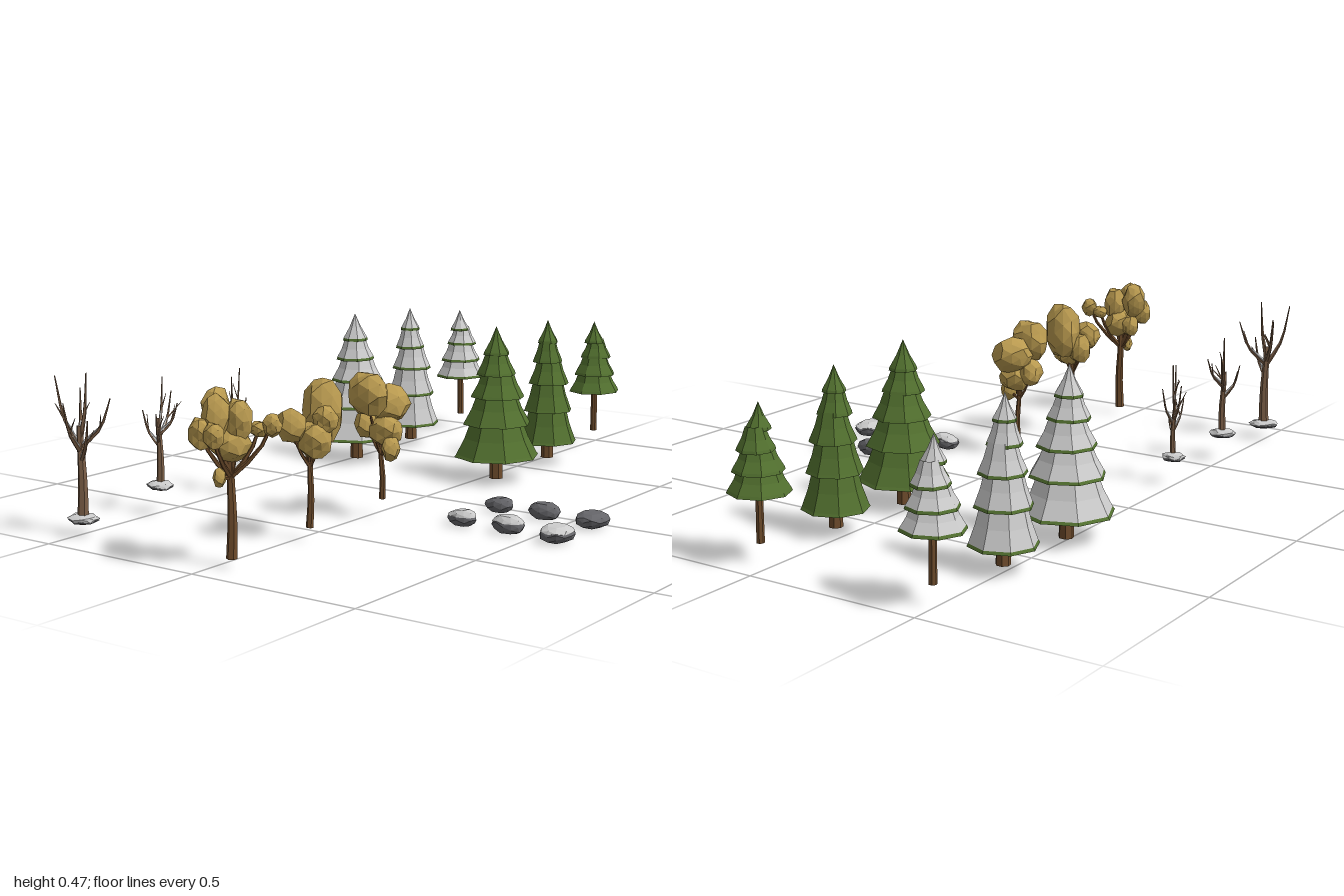
import * as THREE from 'three';

const mat = (color, opts = {}) => new THREE.MeshStandardMaterial({ color, flatShading: true, ...opts });
const green = mat(0x52702f), bark = mat(0x6e4c2c), leaf = mat(0xb8994f), paleBark = mat(0x7d6048);
const stone = mat(0x66666a), snow = mat(0xcccccc);

function add(parent, name, geometry, material) {
  const mesh = new THREE.Mesh(geometry, material);
  mesh.name = name;
  parent.add(mesh);
  return mesh;
}

function group(parent, name, x = 0, y = 0, z = 0) {
  const g = new THREE.Group();
  g.name = name;
  g.position.set(x, y, z);
  parent.add(g);
  return g;
}

const lathe = (pts) => new THREE.LatheGeometry(pts.map(([r, y]) => new THREE.Vector2(r, y)), 8);

// Tapered limb along a smooth path, closed at its base
function limb(points, r0, r1, sides = 6, n = 7) {
  const curve = new THREE.CatmullRomCurve3(points.map((p) => new THREE.Vector3(...p)));
  const geo = new THREE.TubeGeometry(curve, n, 1, sides);
  const pos = geo.attributes.position, v = new THREE.Vector3();
  for (let i = 0; i <= n; i++) {
    const t = Math.max(0, i - 1) / (n - 1);
    const from = curve.getPointAt(i / n), to = curve.getPointAt(t);
    const r = i === 0 ? 0 : r0 + (r1 - r0) * t;
    for (let j = 0; j <= sides; j++) {
      const k = i * (sides + 1) + j;
      v.fromBufferAttribute(pos, k).sub(from).multiplyScalar(r).add(to);
      pos.setXYZ(k, v.x, v.y, v.z);
    }
  }
  return geo;
}

// Irregular faceted lump; the offset depends only on direction, so it stays closed
function lump(rx, ry, rz, seed, rough = 0.1) {
  const geo = new THREE.IcosahedronGeometry(1, 1);
  const pos = geo.attributes.position, v = new THREE.Vector3();
  for (let i = 0; i < pos.count; i++) {
    v.fromBufferAttribute(pos, i);
    v.multiplyScalar(1 + rough * Math.sin(v.x * 5.1 + v.y * 3.7 + v.z * 4.3 + seed * 2.3));
    pos.setXYZ(i, v.x * rx, v.y * ry, v.z * rz);
  }
  return geo;
}

// Conifer: stacked eight-sided skirts; tiers are [radius, bottom height]
function conifer(parent, x, spec, snowy) {
  const g = group(parent, snowy ? 'snowyConifer' : 'conifer', x, 0, spec.z);
  const trunk = new THREE.CylinderGeometry(spec.trunk * 0.85, spec.trunk, spec.tiers[0][1] + 0.04 - spec.base, 7);
  add(g, 'trunk', trunk, bark).position.y = (spec.tiers[0][1] + 0.04 + spec.base) / 2;
  spec.tiers.forEach(([r, y], i) => {
    const next = spec.tiers[i + 1];
    const topR = next ? next[0] * 0.74 : 0, topY = next ? next[1] + 0.012 : spec.tip;
    const lip = [r * 0.955, y + 0.008];
    const mid = [r * 0.46 + topR * 0.5, (y + topY) / 2];
    const under = [[0, y + 0.015], [r, y], lip];
    const upper = [lip, mid, [topR, topY]];
    const tier = group(g, 'tier');
    tier.rotation.set(0.03 * Math.sin(i * 2 + 1) * (y / spec.tip), 0.06 * Math.sin(i * 1.9), 0);
    add(tier, 'needles', lathe(under), green);
    add(tier, snowy ? 'snowCover' : 'needlesTop', lathe(upper), snowy ? snow : green);
  });
}

const conifers = [
  { z: -0.315, base: 0.005, tip: 0.47, trunk: 0.021,
    tiers: [[0.13, 0.075], [0.105, 0.175], [0.082, 0.255], [0.06, 0.325], [0.04, 0.385]] },
  { z: -0.615, base: 0.018, tip: 0.457, trunk: 0.02,
    tiers: [[0.093, 0.07], [0.078, 0.17], [0.064, 0.255], [0.047, 0.325], [0.032, 0.385]] },
  { z: -0.913, base: 0.057, tip: 0.42, trunk: 0.011,
    tiers: [[0.083, 0.19], [0.068, 0.245], [0.05, 0.3], [0.032, 0.35]] },
];

// Broadleaf trees: trunk foot and fork, then crown lumps [x, y, z, rx, ry, rz]
const broadleaves = [
  { foot: [0.04, 0.055, 0.27], fork: [0.04, 0.18, 0.275], r: 0.009, crown: [
    [0.035, 0.355, 0.325, 0.06, 0.062, 0.047], [0.05, 0.32, 0.25, 0.06, 0.052, 0.058],
    [0.055, 0.25, 0.275, 0.048, 0.045, 0.045], [0.085, 0.205, 0.29, 0.024, 0.035, 0.028],
    [0.005, 0.265, 0.285, 0.034, 0.042, 0.04]] },
  { foot: [0.04, 0.04, 0.59], fork: [0.04, 0.2, 0.585], r: 0.01, crown: [
    [0.05, 0.345, 0.54, 0.055, 0.088, 0.052], [0.02, 0.315, 0.635, 0.045, 0.045, 0.034],
    [0.06, 0.275, 0.59, 0.045, 0.05, 0.045], [0.005, 0.29, 0.57, 0.034, 0.048, 0.04],
    [0.08, 0.33, 0.57, 0.032, 0.04, 0.036]] },
  { foot: [0.042, 0.026, 0.9], fork: [0.04, 0.23, 0.895], r: 0.014, crown: [
    [-0.012, 0.395, 0.885, 0.036, 0.055, 0.038], [0.025, 0.385, 0.925, 0.036, 0.055, 0.034],
    [0.06, 0.375, 0.885, 0.034, 0.055, 0.035], [0.0, 0.345, 0.955, 0.032, 0.042, 0.032],
    [0.045, 0.315, 0.89, 0.042, 0.045, 0.05], [0.045, 0.345, 0.96, 0.026, 0.034, 0.026],
    [0.0, 0.31, 0.885, 0.026, 0.036, 0.03], [0.095, 0.35, 0.85, 0.024, 0.02, 0.022],
    [0.132, 0.363, 0.845, 0.026, 0.029, 0.021], [0.035, 0.235, 0.93, 0.016, 0.025, 0.016]] },
];

function broadleaf(parent, { foot, fork, r, crown }) {
  const g = group(parent, 'broadleafTree');
  const mid = foot.map((f, i) => (f + fork[i]) / 2 + (i === 0 ? 0.004 : 0));
  add(g, 'trunk', limb([foot, mid, fork, [fork[0], fork[1] + 0.06, fork[2]]], r, r * 0.6), bark);
  crown.forEach(([x, y, z, rx, ry, rz], i) => {
    const bend = [(fork[0] + x * 2) / 3, (fork[1] + y) / 2, (fork[2] + z * 2) / 3];
    add(g, 'branch', limb([fork, bend, [x, y, z]], r * 0.5, r * 0.3, 5, 4), bark);
    add(g, 'foliage', lump(rx, ry, rz, i + x * 20), leaf).position.set(x, y, z);
  });
}

// Bare trees: branches are [start height, tip x, tip y, tip z] from the foot
const bareTrees = [
  { foot: [-0.49, 0.075, 0.275], h: 0.15, r: 0.009, disc: 0.034, branches: [
    [0.1, 0.03, 0.21, -0.02], [0.12, -0.035, 0.23, -0.03], [0.13, 0.01, 0.275, 0.02],
    [0.09, 0.0, 0.17, 0.055], [0.07, 0.03, 0.13, 0.02], [0.14, -0.015, 0.29, -0.045]] },
  { foot: [-0.49, 0.075, 0.59], h: 0.17, r: 0.012, disc: 0.04, branches: [
    [0.14, -0.03, 0.26, -0.085], [0.15, 0.04, 0.24, -0.035], [0.16, -0.01, 0.31, -0.03],
    [0.13, 0.03, 0.22, 0.04], [0.12, -0.04, 0.22, 0.02]] },
  { foot: [-0.49, 0.04, 0.885], h: 0.23, r: 0.016, disc: 0.045, branches: [
    [0.2, 0.08, 0.335, -0.035], [0.2, -0.06, 0.39, 0.025], [0.21, -0.04, 0.35, -0.045],
    [0.19, 0.015, 0.33, 0.07], [0.22, 0.02, 0.4, -0.01], [0.16, 0.05, 0.28, 0.02]] },
];

function bareTree(parent, { foot, h, r, disc, branches }) {
  const g = group(parent, 'bareTree', ...foot);
  add(g, 'trunk', limb([[0, -0.005, 0], [0.004, h * 0.5, 0], [0, h, 0], [0, h + 0.03, 0]], r, r * 0.5), paleBark);
  add(g, 'snowMound', lump(disc, 0.012, disc * 0.85, disc * 50, 0.13), snow).position.y = 0.01;
  add(g, 'moundUnderside', lump(disc * 0.93, 0.01, disc * 0.8, disc * 50, 0.13), stone).position.y = 0.005;
  branches.forEach(([y, tx, ty, tz], i) => {
    const bend = [tx * 0.65, y + (ty - y) * 0.4, tz * 0.65];
    add(g, 'branch', limb([[0, y, 0], bend, [tx, ty, tz]], r * 0.45, 0.0015, 5, 6), paleBark);
    // Side twig, and a strip of snow lying on the lower half of the branch
    const s = i % 2 ? 1 : -1;
    const twigTip = [bend[0] + s * tz * 0.4 + tx * 0.2, bend[1] + 0.045, bend[2] - s * tx * 0.4 + tz * 0.2];
    add(g, 'twig', limb([bend, twigTip], r * 0.25, 0.001, 4, 3), paleBark);
    add(g, 'branchSnow', limb([[tx * 0.1, y + 0.012, tz * 0.1], [bend[0], bend[1] + 0.004, bend[2]]],
      r * 0.38, 0.002, 5, 3), snow);
  });
}

// Rocks: [x, width/2, height, depth/2, lean toward one side]
const rocks = [[0.272, 0.044, 0.04, 0.03, 0.35], [0.42, 0.049, 0.045, 0.03, 0], [0.57, 0.046, 0.04, 0.054, -0.1]];

function rock(parent, [x, rx, h, rz, lean], z, seed, snowy) {
  const g = group(parent, snowy ? 'snowyRock' : 'rock', x, h * 0.5 + 0.003, z);
  const shape = (s, lift) => {
    const geo = lump(rx * s, h * 0.62, rz * s, seed, 0.06);
    const pos = geo.attributes.position;
    for (let i = 0; i < pos.count; i++) {
      const y = THREE.MathUtils.clamp(pos.getY(i), -h * 0.5, h * 0.5);
      const slope = y > 0 ? 1 + lean * pos.getX(i) / rx : 1;
      pos.setY(i, lift ? Math.max(y, h * 0.1) * slope + lift : y * slope);
    }
    return geo;
  };
  add(g, 'stone', shape(1, 0), stone);
  if (snowy) add(g, 'snowCap', shape(0.97, 0.003), snow);
}

export function createModel() {
  const root = new THREE.Group();
  root.name = 'forestSet';
  for (const spec of conifers) {
    conifer(root, -0.49, spec, true);
    conifer(root, 0.04, spec, false);
  }
  broadleaves.forEach((t) => broadleaf(root, t));
  bareTrees.forEach((t) => bareTree(root, t));
  rocks.forEach((r, i) => {
    rock(root, r, 0.033, i + 1, false);
    rock(root, r, 0.22, i + 1, true);
  });
  return root;
}
